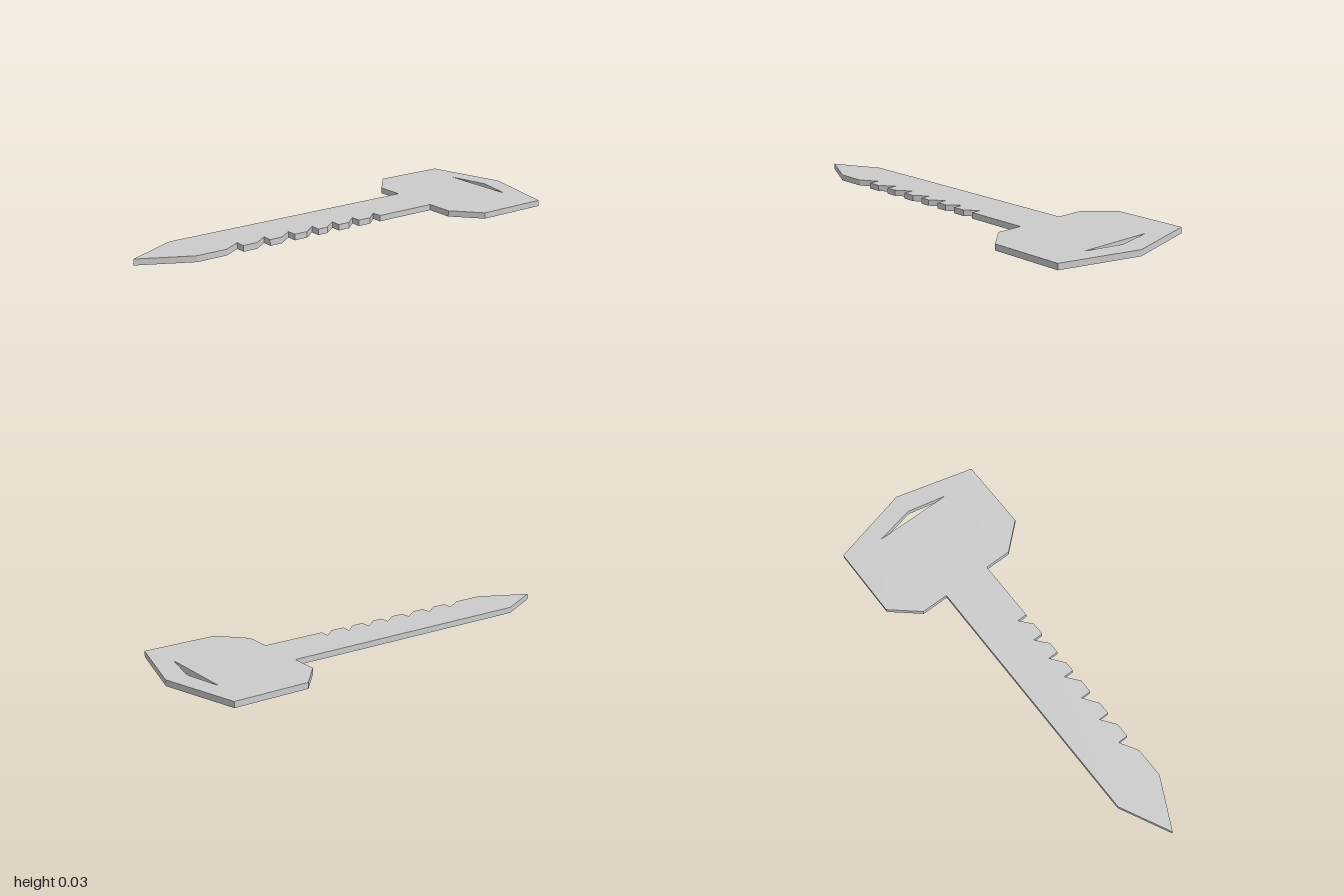
import * as THREE from 'three';

const THICKNESS = 0.027;

export function createModel() {
  const group = new THREE.Group();
  group.name = 'key';

  // Outline in plan: [x, z], starting at the tip of the head
  const outline = [[0, -1], [0.366, -0.905], [0.366, -0.565], [0.243, -0.455], [0.118, -0.455]];

  // Notches along the cutting edge: [square end, sloped end] in z
  const notches = [
    [-0.16, -0.105], [-0.043, 0.013], [0.067, 0.13], [0.177, 0.237],
    [0.3, 0.367], [0.425, 0.49], [0.557, 0.637],
  ];
  for (const [start, end] of notches) {
    outline.push([0.118, start], [0.07, start], [0.118, end]);
  }

  // Pointed end, plain edge and other half of the head
  outline.push([0.118, 0.775], [0.003, 1], [-0.111, 0.775], [-0.111, -0.455],
    [-0.24, -0.455], [-0.367, -0.565], [-0.367, -0.905]);

  const toPoints = (list) => list.map(([x, z]) => new THREE.Vector2(x, z));
  const shape = new THREE.Shape(toPoints(outline));

  // Triangular slot for the key ring
  shape.holes.push(new THREE.Path(toPoints([[-0.184, -0.865], [0, -0.905], [0.182, -0.865]])));

  // Lay the plate flat on the ground
  const geometry = new THREE.ExtrudeGeometry(shape, { depth: THICKNESS, bevelEnabled: false });
  geometry.rotateX(Math.PI / 2);
  geometry.translate(0, THICKNESS, 0);

  const plate = new THREE.Mesh(geometry,
    new THREE.MeshStandardMaterial({ color: 0xcccccc, flatShading: true }));
  plate.name = 'keyPlate';
  group.add(plate);
  return group;
}
